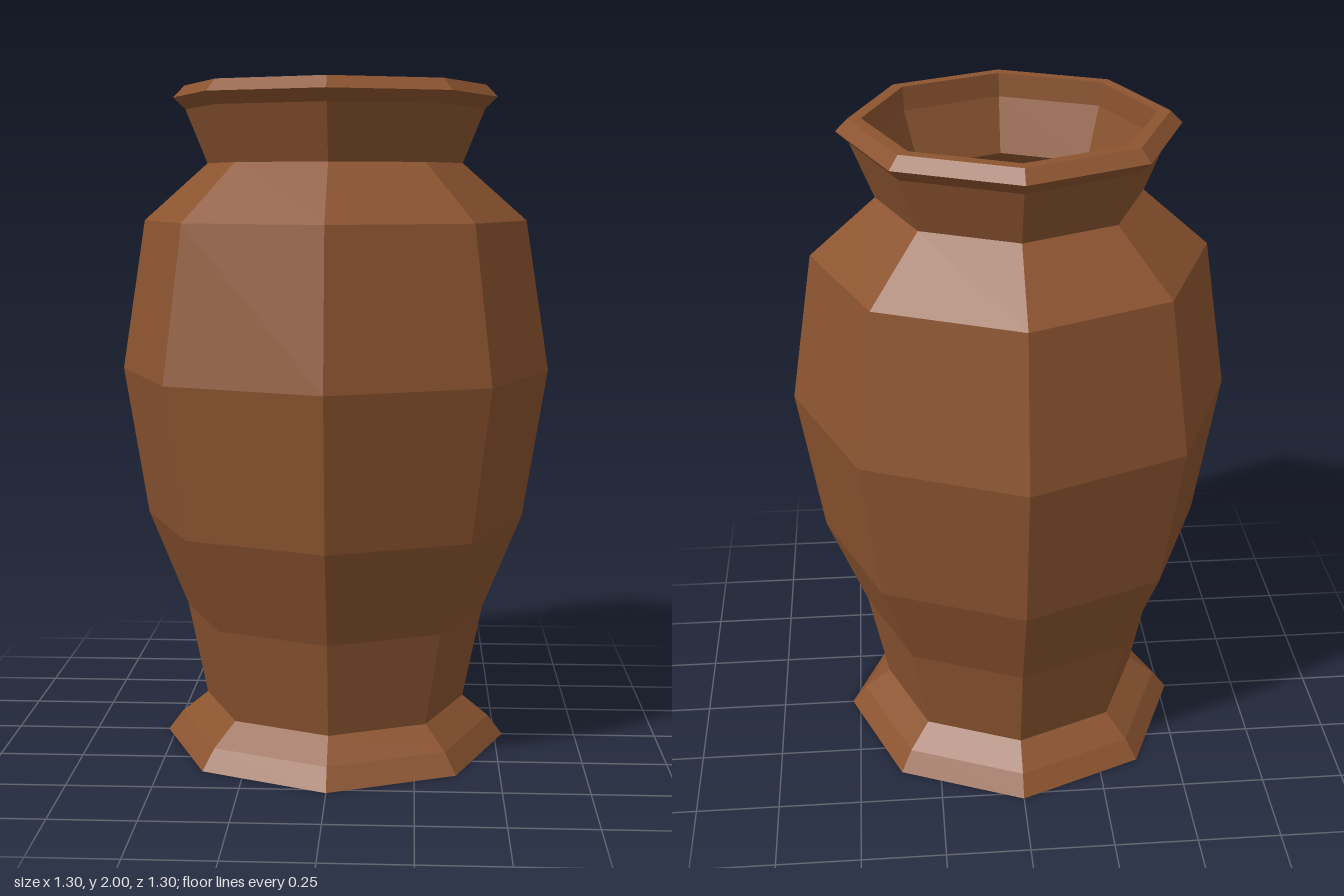
import * as THREE from 'three';

const SIDES = 8;

const clay = new THREE.MeshStandardMaterial({ color: 0x8c5430 });
clay.name = 'brown clay';

// Eight-sided turned part with faceted normals; profile is a list of [radius, height]
function turnedPart(name, profile) {
  const points = profile.map(([r, y]) => new THREE.Vector2(r, y));
  const geometry = new THREE.LatheGeometry(points, SIDES).toNonIndexed();
  geometry.computeVertexNormals();
  const mesh = new THREE.Mesh(geometry, clay);
  mesh.name = name;
  return mesh;
}

export function createModel() {
  const vase = new THREE.Group();
  vase.name = 'vase';

  vase.add(
    // flared foot with closed underside
    turnedPart('foot', [[0, 0], [0.525, 0], [0.48, 0.06], [0.4, 0.125]]),
    // bulging belly and sloping shoulder
    turnedPart('body', [
      [0.4, 0.125], [0.458, 0.41], [0.576, 0.7], [0.648, 1.15], [0.576, 1.6], [0.383, 1.77],
    ]),
    // neck widening upwards
    turnedPart('neck', [[0.383, 1.77], [0.448, 1.93]]),
    // bevelled lip
    turnedPart('rim', [[0.448, 1.93], [0.485, 1.965], [0.45, 2], [0.412, 2]]),
    // hollow inside, from the mouth down to the floor
    turnedPart('interior', [
      [0.412, 2], [0.408, 1.93], [0.355, 1.77], [0.54, 1.59], [0.61, 1.15],
      [0.54, 0.71], [0.42, 0.42], [0.365, 0.125], [0, 0.125],
    ]),
  );
  return vase;
}
